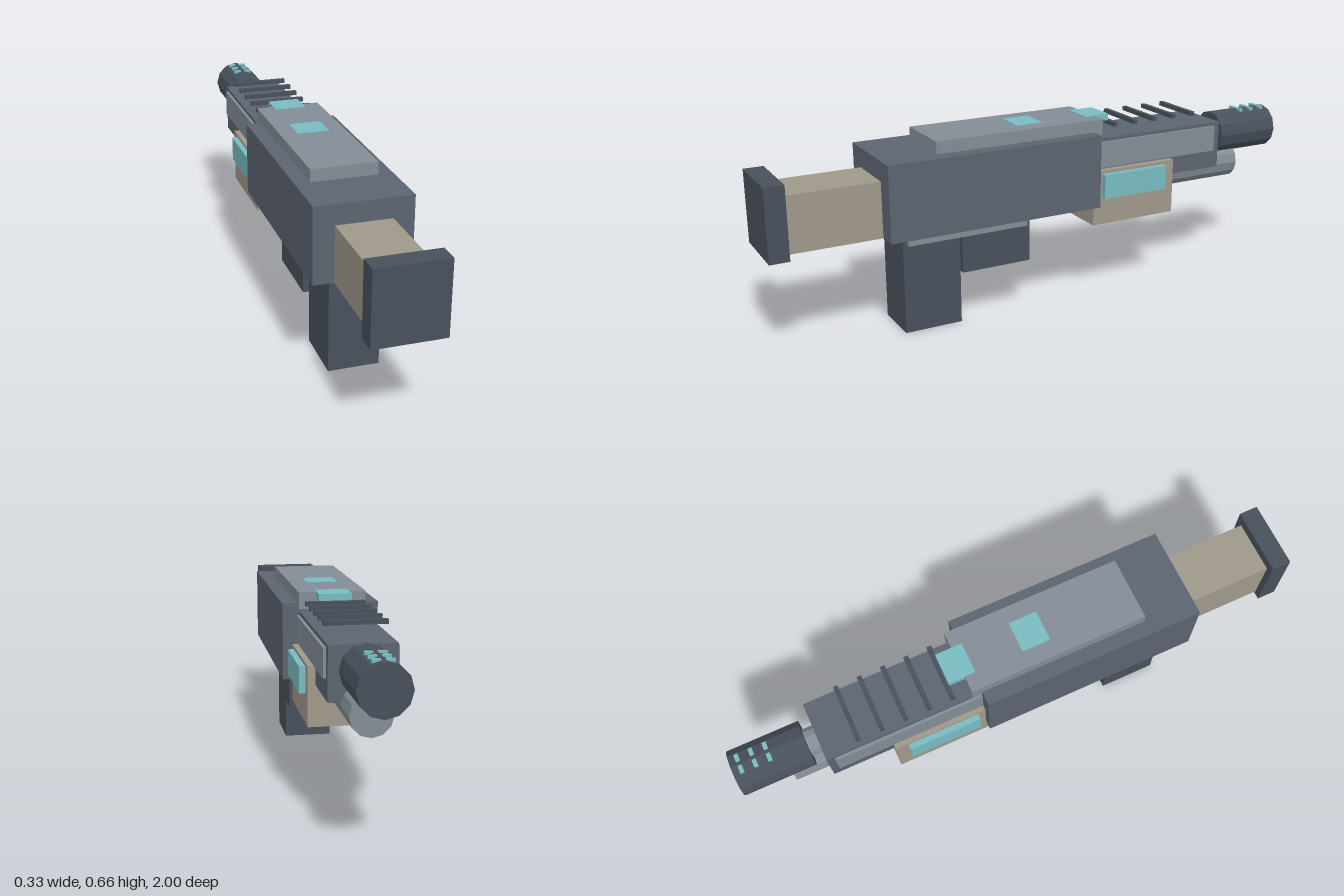
import * as THREE from 'three';

export function createModel() {
  const model = new THREE.Group();
  const mat = (color) => new THREE.MeshStandardMaterial({ color, flatShading: true });
  const dark = mat(0x48505b), slate = mat(0x5c6470), light = mat(0x838d95);
  const tan = mat(0x9f988b), teal = mat(0x78bcc2);

  // Box given by its limits on each axis
  function box(name, material, [x0, x1], [y0, y1], [z0, z1]) {
    const mesh = new THREE.Mesh(new THREE.BoxGeometry(x1 - x0, y1 - y0, z1 - z0), material);
    mesh.position.set((x0 + x1) / 2, (y0 + y1) / 2, (z0 + z1) / 2);
    mesh.name = name;
    model.add(mesh);
  }
  const centred = (name, material, half, y, z) => box(name, material, [-half, half], y, z);
  function pair(name, material, [x0, x1], y, z) {
    box('left' + name, material, [x0, x1], y, z);
    box('right' + name, material, [-x1, -x0], y, z);
  }
  // Faceted cylinder lying along z
  function tube(name, material, radius, y, z0, z1) {
    const geometry = new THREE.CylinderGeometry(radius, radius, z1 - z0, 12).rotateX(Math.PI / 2);
    const mesh = new THREE.Mesh(geometry, material);
    mesh.position.set(0, y, (z0 + z1) / 2);
    mesh.name = name;
    model.add(mesh);
  }

  // Receiver and its top plate
  centred('receiver', slate, 0.163, [0.355, 0.615], [-0.163, 0.618]);
  centred('topPlate', light, 0.113, [0.6, 0.658], [-0.198, 0.432]);
  centred('topIndicator', teal, 0.055, [0.645, 0.66], [0.01, 0.11]);
  centred('rearSight', teal, 0.055, [0.636, 0.66], [-0.255, -0.16]);
  pair('LowerRail', light, [0.113, 0.128], [0.323, 0.365], [0.108, 0.545]);

  // Stock
  centred('stock', tan, 0.093, [0.354, 0.546], [0.6, 0.94]);
  centred('buttPlate', dark, 0.118, [0.34, 0.588], [0.933, 1]);

  // Grip and trigger housing
  centred('grip', dark, 0.087, [0, 0.37], [0.345, 0.55]);
  centred('triggerHousing', dark, 0.108, [0.187, 0.37], [0.09, 0.345]);

  // Forend with side panels and cooling ribs
  centred('forend', slate, 0.105, [0.415, 0.587], [-0.712, -0.14]);
  pair('ForendPanel', light, [0.1, 0.115], [0.482, 0.575], [-0.685, -0.15]);
  for (let i = 0; i < 5; i++) {
    const z = -0.26 - i * 0.083;
    centred('coolingRib', dark, 0.1, [0.622, 0.637], [z - 0.008, z + 0.008]);
  }

  // Pump grip with glowing side panels
  centred('pumpGrip', tan, 0.13, [0.279, 0.476], [-0.492, -0.155]);
  pair('PumpPanel', teal, [0.125, 0.15], [0.378, 0.465], [-0.447, -0.19]);

  // Barrel, muzzle and magazine tube
  tube('barrelNeck', light, 0.048, 0.52, -0.77, -0.7);
  tube('muzzle', dark, 0.08, 0.52, -1, -0.75);
  tube('magazineTube', light, 0.066, 0.406, -0.835, -0.055);
  for (const z of [-0.97, -0.922, -0.874])
    pair('MuzzleVent', teal, [0.007, 0.033], [0.59, 0.602], [z - 0.007, z + 0.007]);

  return model;
}
